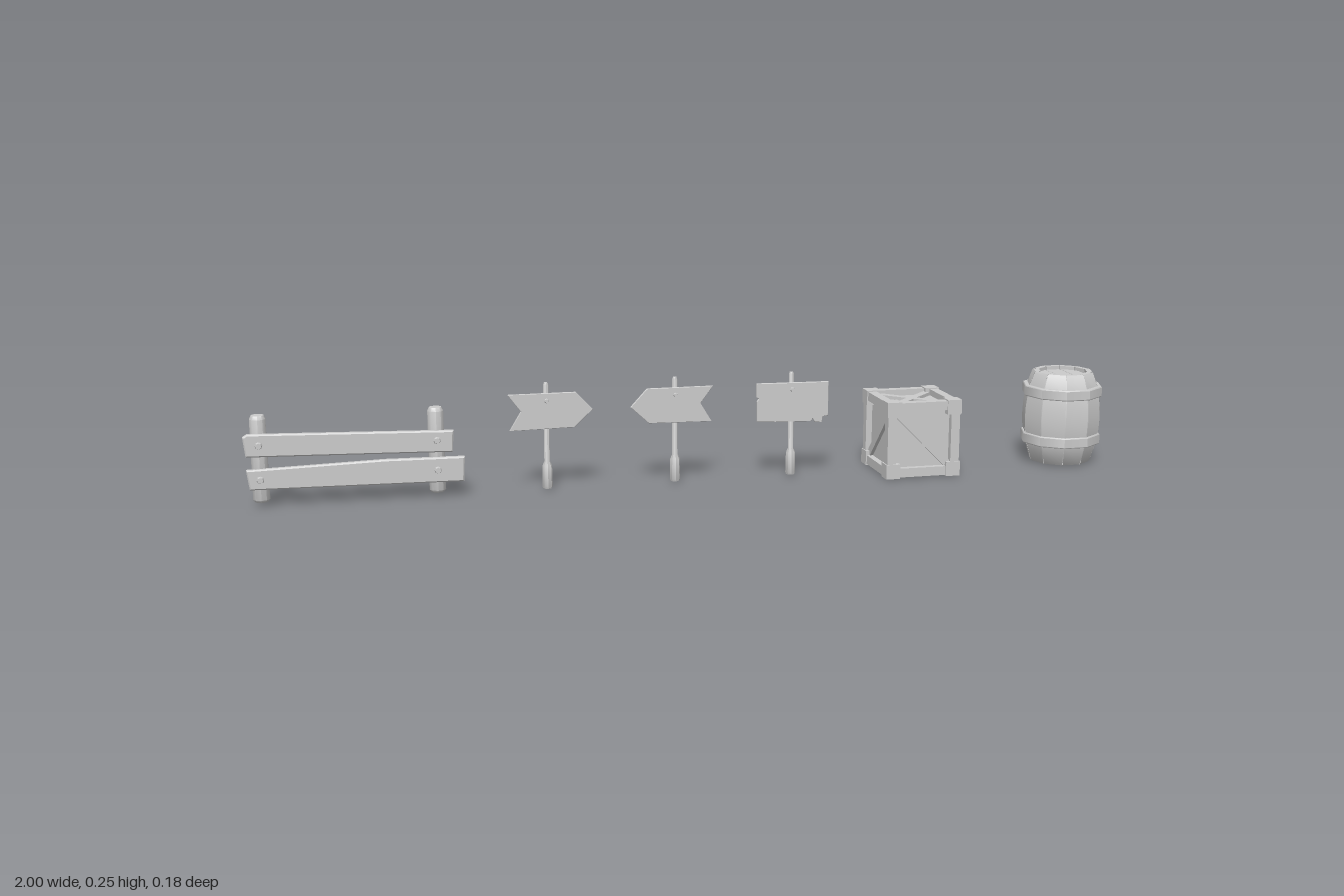
import * as THREE from 'three';
import { toCreasedNormals } from 'three/addons/utils/BufferGeometryUtils.js';

const flat = new THREE.MeshStandardMaterial({ color: 0xcccccc, flatShading: true });
const smooth = new THREE.MeshStandardMaterial({ color: 0xcccccc, side: THREE.DoubleSide });
const V2 = (p) => p.map(([x, y]) => new THREE.Vector2(x, y));

function add(parent, name, geometry, material, x = 0, y = 0, z = 0) {
  const mesh = new THREE.Mesh(geometry, material);
  mesh.name = name;
  mesh.position.set(x, y, z);
  parent.add(mesh);
  return mesh;
}

function group(parent, name, x = 0, z = 0) {
  const g = new THREE.Group();
  g.name = name;
  g.position.set(x, 0, z);
  parent.add(g);
  return g;
}

// Turned profile with crisp edges
function turned(profile, sides, start = 0, length = Math.PI * 2) {
  return toCreasedNormals(new THREE.LatheGeometry(V2(profile), sides, start, length), 0.7);
}

// Board cut from an outline, with slightly eased edges
function board(outline, depth, bevel) {
  return new THREE.ExtrudeGeometry(new THREE.Shape(V2(outline)), {
    depth: depth - 2 * bevel, bevelEnabled: bevel > 0, bevelSize: bevel,
    bevelThickness: bevel, bevelOffset: -bevel, bevelSegments: 1,
  }).translate(0, 0, bevel);
}

function bolt(parent, x, y, z, r) {
  add(parent, 'bolt', new THREE.CylinderGeometry(r * 0.7, r, r, 8).rotateX(Math.PI / 2), flat, x, y, z);
}

function fence(parent) {
  const g = group(parent, 'fence');
  const post = turned([[0, 0.008], [0.014, 0.008], [0.019, 0.014], [0.018, 0.192], [0.014, 0.2], [0, 0.2]], 10);
  const planks = [
    [[-0.995, 0.113], [-0.553, 0.102], [-0.55, 0.15], [-0.99, 0.163], [-1, 0.157]],
    [[-0.99, 0.04], [-0.53, 0.034], [-0.527, 0.09], [-0.7, 0.092], [-0.996, 0.084]],
  ];
  for (const x of [-0.967, -0.587]) {
    add(g, 'fencePost', post, smooth, x, 0, -0.01);
    const t = x < -0.8 ? [0.138, 0.062] : [0.13, 0.063];
    for (const y of t) bolt(g, x, y, 0.018, 0.009);
  }
  for (const p of planks) add(g, 'fencePlank', board(p, 0.015, 0.003), flat, 0, 0, 0.001);
}

function sign(parent, name, x, outline) {
  const g = group(parent, name, x);
  const post = turned([[0, 0.003], [0.01, 0.003], [0.012, 0.008], [0.011, 0.055], [0.0065, 0.065],
    [0.006, 0.24], [0.004, 0.245], [0, 0.245]], 8);
  add(g, 'signPost', post, smooth, 0, 0, -0.004);
  add(g, 'signBoard', board(outline, 0.006, 0.001), flat, 0, 0, 0);
  bolt(g, 0, 0.205, 0.007, 0.006);
}

function crate(parent) {
  const g = group(parent, 'crate', 0.52);
  const h = 0.09, e = 0.077, beam = 0.021, c = 0.034;
  add(g, 'cratePanels', new THREE.BoxGeometry(0.146, 0.146, 0.146), flat, 0, h, 0);
  // Edge beams along each axis, and corner blocks
  for (const a of [-1, 1]) for (const b of [-1, 1]) {
    add(g, 'crateBeam', new THREE.BoxGeometry(0.13, beam, beam), flat, 0, h + a * e, b * e);
    add(g, 'crateBeam', new THREE.BoxGeometry(beam, 0.13, beam), flat, a * e, h, b * e);
    add(g, 'crateBeam', new THREE.BoxGeometry(beam, beam, 0.13), flat, a * e, h + b * e, 0);
    for (const s of [-1, 1]) {
      add(g, 'crateCorner', new THREE.BoxGeometry(c, c, c), flat,
        a * (h - c / 2), h + b * (h - c / 2), s * (h - c / 2));
    }
  }
  // Diagonal braces: single on two sides, crossed on top and bottom
  const brace = (width, angle) => new THREE.BoxGeometry(0.17, width, 0.008).rotateZ(angle).translate(0, 0, 0.077);
  const q = Math.PI / 4;
  add(g, 'frontBrace', brace(0.018, -q), flat, 0, h, 0);
  add(g, 'sideBrace', brace(0.018, q), flat, 0, h, 0).rotation.y = -Math.PI / 2;
  for (const s of [-1, 1]) for (const k of [-1, 1]) {
    add(g, 'crossBrace', brace(0.018, k * q), flat, 0, h, 0).rotation.x = s * Math.PI / 2;
  }
}

function barrel(parent) {
  const g = group(parent, 'barrel', 0.901);
  const n = 10, step = Math.PI * 2 / n, gap = 0.02;
  // Closed stave section: outside going up, then back down inside
  const section = [[0.057, 0.003], [0.07, 0.003], [0.073, 0.006], [0.086, 0.05], [0.0915, 0.085], [0.0925, 0.111],
    [0.0915, 0.137], [0.086, 0.18], [0.073, 0.216], [0.07, 0.22], [0.057, 0.22], [0.057, 0.003]];
  for (let i = 0; i < n; i++) {
    add(g, 'stave', turned(section, 1, Math.PI / 2 + i * step + gap / 2, step - gap), smooth);
  }
  // Inner shell seen in the gaps between staves
  add(g, 'innerShell', turned([[0, 0.012], [0.066, 0.012], [0.083, 0.055], [0.089, 0.111], [0.083, 0.167],
    [0.066, 0.206], [0, 0.206]], n, Math.PI / 2), smooth);
  for (const y of [0.0605, 0.175]) {
    const hoop = turned([[0.08, -0.0125], [0.0925, -0.0125], [0.0945, -0.01], [0.0945, 0.01],
      [0.0925, 0.0125], [0.08, 0.0125]], n, Math.PI / 2);
    add(g, 'hoop', hoop, smooth, 0, y, 0);
  }
  // Three slats on each end
  const r = 0.058, chord = (x) => Math.sqrt(r * r - x * x);
  for (const y of [0.006, 0.204]) {
    for (const [a, b] of [[-0.052, -0.0195], [-0.0175, 0.0175], [0.0195, 0.052]]) {
      const m = (a + b) / 2;
      const slat = board([[a, -chord(a)], [m, -chord(m)], [b, -chord(b)], [b, chord(b)], [m, chord(m)], [a, chord(a)]],
        0.008, 0.001).rotateX(-Math.PI / 2);
      add(g, 'endSlat', slat, flat, 0, y, 0);
    }
  }
}

export function createModel() {
  const model = new THREE.Group();
  model.name = 'woodenProps';
  fence(model);
  const arrow = [[-0.087, 0.222], [-0.058, 0.183], [-0.084, 0.14], [0.062, 0.142], [0.104, 0.181], [0.066, 0.222]];
  sign(model, 'rightArrowSign', -0.342, arrow);
  sign(model, 'leftArrowSign', -0.048, arrow.map(([x, y]) => [-x, y]).reverse());
  sign(model, 'plainSign', 0.227, [[-0.085, 0.222], [-0.085, 0.19], [-0.08, 0.186], [-0.084, 0.18], [-0.084, 0.133],
    [-0.04, 0.13], [0.045, 0.128], [0.05, 0.134], [0.055, 0.126], [0.072, 0.124], [0.074, 0.138], [0.087, 0.14], [0.087, 0.22]]);
  crate(model);
  barrel(model);
  return model;
}
